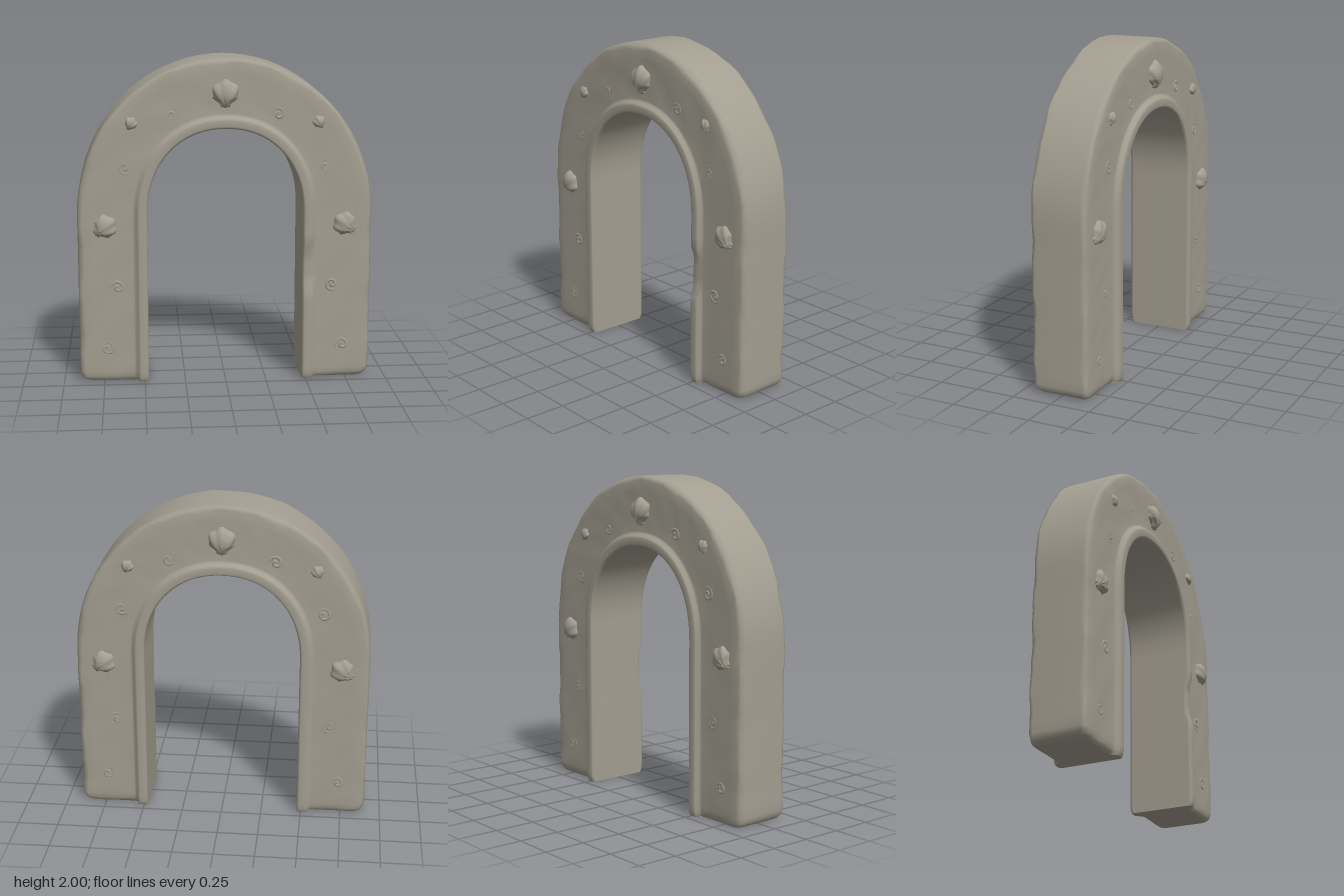
import * as THREE from 'three';

const FACE = 0.18, RIM = 0.212, SPRING = 1.05;

// smooth repeatable unevenness, about -1..1
const wobble = (s, k) => 0.6 * Math.sin(s * 9.1 + k * 2.3) + 0.4 * Math.sin(s * 21.7 + k * 5.1);

// stations from the +x foot, over the arch, to the -x foot: inner and outer edge points
function stations() {
  const half = [];
  const feet = [[0, 0.045], [0.012, 0.022], [0.03, 0.008], [0.06, 0]];
  for (const [y, inset] of feet) half.push({ ix: 0.475, iy: y, ox: 0.9 - inset, oy: y, inset });
  for (let k = 1; k <= 16; k++) {
    const y = 0.06 + (SPRING - 0.06) * k / 16;
    half.push({ ix: 0.475, iy: y, ox: 0.9, oy: y, inset: 0 });
  }
  for (let k = 1; k <= 20; k++) {
    const a = k / 20 * Math.PI / 2, c = Math.max(0, Math.cos(a)), s = Math.sin(a);
    half.push({
      ix: 0.475 * c ** 0.93, iy: SPRING + 0.525 * s ** 0.93,
      ox: 0.9 * c, oy: SPRING + 0.95 * s, inset: 0,
    });
  }
  const other = half.slice(0, -1).reverse().map(p => ({ ...p, ix: -p.ix, ox: -p.ox }));
  return [...half, ...other];
}

// cross-section as [distance from inner edge, z], front half then back half
function section(p, i, width) {
  const side = (sign) => {
    const k = sign > 0 ? 0 : 7;
    const s = i * 0.09;
    const bevel = 0.034 + 0.012 * wobble(s, k);
    const chipped = sign > 0 && p.ix > 0 && p.iy > 0.6 && p.iy < 0.82;
    const rim = (chipped ? 0.19 : RIM) - p.inset * 0.3;
    const face = FACE - p.inset * 0.5;
    const pts = [
      [0, rim - 0.02], [0.004, rim - 0.007], [0.014, rim], [0.05, rim],
      [0.062, rim - 0.006], [0.075, face + 0.006], [0.09, face],
    ];
    for (const f of [0.4, 0.6, 0.78]) pts.push([width * f, face + 0.004 * wobble(s, k + f * 9)]);
    pts.push([width - bevel, face], [width - bevel * 0.35, face - bevel * 0.3], [width, face - bevel]);
    return pts.map(([d, z]) => [d, z * sign]);
  };
  return [...side(1), ...side(-1).reverse()];
}

function archGeometry() {
  const pos = [], index = [];
  const rows = stations();
  let n = 0;
  rows.forEach((p, i) => {
    const dx = p.ox - p.ix, dy = p.oy - p.iy, width = Math.hypot(dx, dy);
    const loop = section(p, i, width);
    n = loop.length;
    for (const [d, z] of loop) pos.push(p.ix + dx * d / width, p.iy + dy * d / width, z);
  });
  for (let i = 0; i < rows.length - 1; i++) {
    for (let j = 0; j < n; j++) {
      const a = i * n + j, b = i * n + (j + 1) % n;
      index.push(a, b, b + n, a, b + n, a + n);
    }
  }
  // soles of both feet, with their own vertices
  for (const [row, flip] of [[0, true], [rows.length - 1, false]]) {
    const start = pos.length / 3;
    for (let j = 0; j < n * 3; j++) pos.push(pos[row * n * 3 + j]);
    pos.push((rows[row].ix + rows[row].ox) / 2, 0, 0);
    for (let j = 0; j < n; j++) {
      const a = start + j, b = start + (j + 1) % n;
      index.push(start + n, flip ? b : a, flip ? a : b);
    }
  }
  const geo = new THREE.BufferGeometry();
  geo.setAttribute('position', new THREE.Float32BufferAttribute(pos, 3));
  geo.setIndex(index);
  geo.computeVertexNormals();
  return geo;
}

// scallop shell of unit radius: a dome with ribs fanning out from a hinge at the bottom
function shellGeometry() {
  const geo = new THREE.SphereGeometry(1, 56, 12, 0, Math.PI * 2, 0, Math.PI / 2);
  geo.rotateX(Math.PI / 2);
  const v = geo.attributes.position;
  for (let i = 0; i < v.count; i++) {
    const x = v.getX(i), y = v.getY(i), z = v.getZ(i);
    const fan = Math.atan2(x, y + 1.15);
    const rib = Math.cos(fan * 13);
    const r = Math.hypot(x, y);
    const grow = 1 + 0.07 * rib * r;
    const waist = y < -0.35 ? 1 - 0.45 * Math.sin(Math.min(1, (-0.35 - y) / 0.4) * Math.PI / 2) * (y > -0.8 ? 1 : 0.6) : 1;
    v.setXYZ(i, x * grow * waist, y * grow, z * (1 + 0.1 * rib * r));
  }
  geo.computeVertexNormals();
  return geo;
}

// shallow curled ripple of unit radius
function swirlGeometry() {
  const pts = [];
  for (let k = 0; k <= 20; k++) {
    const a = k / 20 * Math.PI * 2.6, r = 0.15 + 0.85 * k / 20;
    pts.push(new THREE.Vector3(Math.cos(a) * r, Math.sin(a) * r, -0.12 * k / 20));
  }
  return new THREE.TubeGeometry(new THREE.CatmullRomCurve3(pts), 48, 0.24, 8);
}

export function createModel() {
  const model = new THREE.Group();
  const stone = new THREE.MeshStandardMaterial({ color: 0xa39e90 });
  stone.name = 'warm grey stone';

  const arch = new THREE.Mesh(archGeometry(), stone);
  arch.name = 'archBody';
  model.add(arch);

  const shell = shellGeometry(), swirl = swirlGeometry();
  const place = (group, name, geo, x, y, size, depth, z, turn) => {
    const mesh = new THREE.Mesh(geo, stone);
    mesh.name = name;
    mesh.position.set(x, y, z);
    mesh.rotation.z = turn;
    mesh.scale.set(size, size, depth);
    group.add(mesh);
  };

  // the same ornaments on the front and the back
  for (const [name, turn] of [['frontOrnaments', 0], ['backOrnaments', Math.PI]]) {
    const group = new THREE.Group();
    group.name = name;
    group.rotation.y = turn;
    place(group, 'crownShell', shell, 0, 1.785, 0.083, 0.055, 0.172, 0);
    for (const s of [-1, 1]) {
      place(group, 'legShell', shell, s * 0.735, 0.98, 0.074, 0.045, 0.172, s * 0.9);
      place(group, 'smallShell', shell, s * 0.567, 1.61, 0.04, 0.03, 0.172, s * 0.5);
      for (const [x, y] of [[0.32, 1.66], [0.61, 1.34], [0.66, 0.6], [0.73, 0.21]]) {
        place(group, 'swirl', swirl, s * x, y, 0.042, 0.03, 0.178, y * 4 + s);
      }
    }
    model.add(group);
  }
  return model;
}
